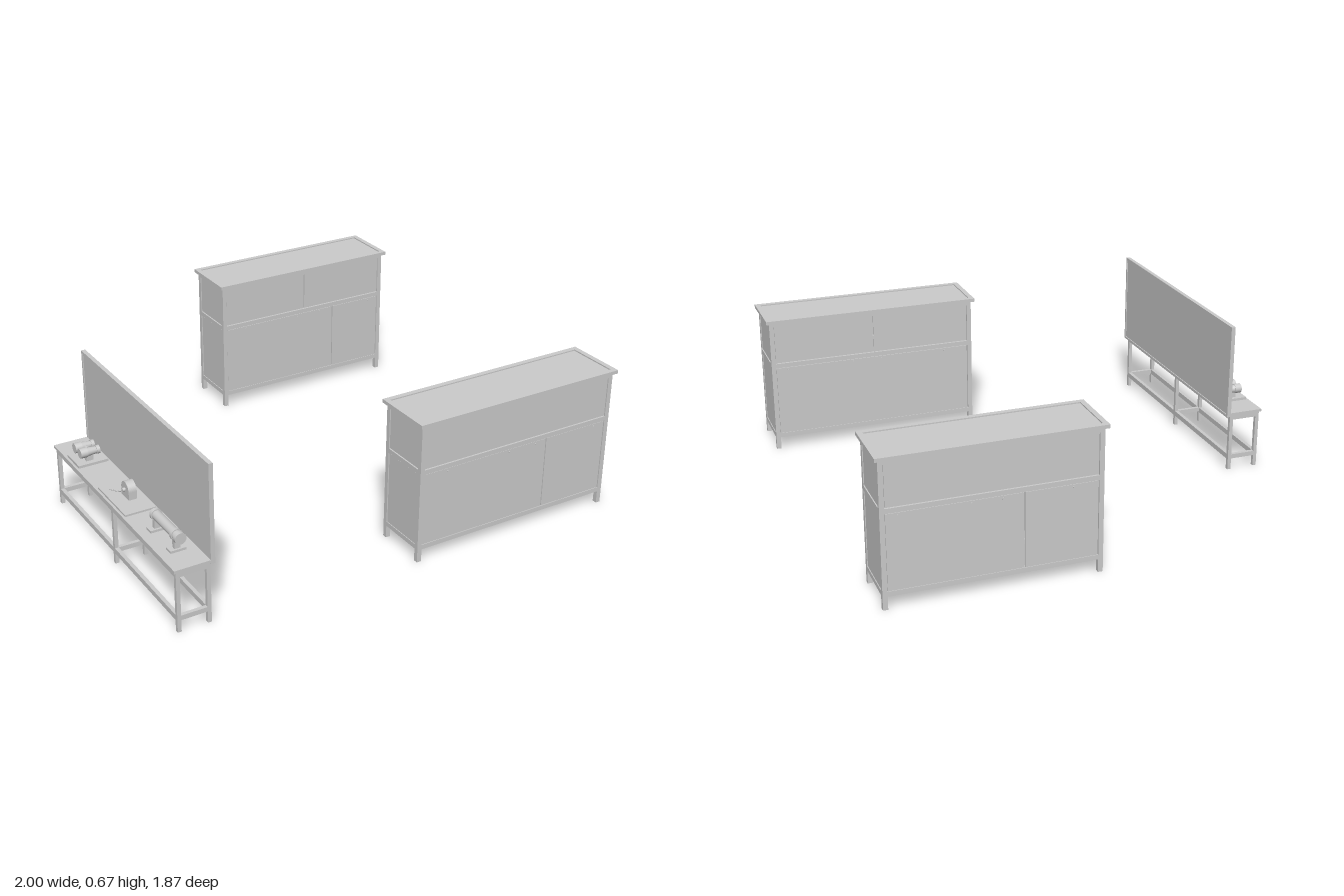
import * as THREE from 'three';

const mat = new THREE.MeshStandardMaterial({ color: 0xcccccc, side: THREE.DoubleSide });

function add(parent, name, geo, x = 0, y = 0, z = 0) {
  const m = new THREE.Mesh(geo, mat);
  m.name = name;
  m.position.set(x, y, z);
  parent.add(m);
  return m;
}

// box given by its limits on each axis
function box(parent, name, x0, x1, y0, y1, z0, z1) {
  return add(parent, name, new THREE.BoxGeometry(x1 - x0, y1 - y0, z1 - z0),
    (x0 + x1) / 2, (y0 + y1) / 2, (z0 + z1) / 2);
}

// cylinder lying along 'x' or 'z'
function rod(parent, name, axis, r, len, x, y, z, r2 = r) {
  const g = new THREE.CylinderGeometry(r, r2, len, 24);
  if (axis === 'x') g.rotateZ(-Math.PI / 2);
  else g.rotateX(Math.PI / 2);
  return add(parent, name, g, x, y, z);
}

// framed cabinet with an open underside; splits hold the panel joints of each long face
function cabinet(name, x0, x1, zc, splits) {
  const g = new THREE.Group();
  g.name = name;
  const hz = 0.12, p = 0.02, z0 = zc - hz, z1 = zc + hz;
  const rails = [[0.055, 0.075], [0.392, 0.412], [0.587, 0.605]];
  const rows = [[0.075, 0.389], [0.415, 0.587]];

  // corner posts
  for (const x of [x0, x1 - p])
    for (const z of [z0, z1 - p]) box(g, 'cornerPost', x, x + p, 0, 0.605, z, z + p);

  // horizontal rails
  for (const [a, b] of rails) {
    for (const z of [z0, z1 - p]) box(g, 'longRail', x0 + p, x1 - p, a, b, z, z + p);
    for (const x of [x0, x1 - p]) box(g, 'endRail', x, x + p, a, b, z0 + p, z1 - p);
  }

  // panels of the two long faces, with bolts under the middle rail
  for (const s of [1, -1]) {
    const zf = zc + s * (hz - 0.006);
    rows.forEach(([a, b], row) => {
      const cuts = [x0 + p, ...splits[s === 1 ? 'front' : 'back'][row], x1 - p];
      for (let i = 0; i + 1 < cuts.length; i++)
        box(g, row ? 'upperPanel' : 'lowerPanel', cuts[i] + 0.002, cuts[i + 1] - 0.002,
          a, b, zf - 0.003, zf + 0.003);
    });
    for (const t of [0.14, 0.46, 0.6, 0.92])
      rod(g, 'bolt', 'z', 0.004, 0.008, x0 + t * (x1 - x0), 0.378, zf + s * 0.003);
  }

  // end panels
  for (const x of [x0 + 0.006, x1 - 0.006])
    for (const [a, b] of rows)
      box(g, 'endPanel', x - 0.003, x + 0.003, a, b, z0 + p + 0.002, z1 - p - 0.002);

  // overhanging top: rim with a slightly sunken board
  const o = 0.014, w = 0.022, X0 = x0 - o, X1 = x1 + o, Z0 = z0 - o, Z1 = z1 + o;
  for (const z of [Z0, Z1 - w]) box(g, 'topRim', X0, X1, 0.605, 0.62, z, z + w);
  for (const x of [X0, X1 - w]) box(g, 'topRim', x, x + w, 0.605, 0.62, Z0 + w, Z1 - w);
  box(g, 'topBoard', X0 + w, X1 - w, 0.606, 0.615, Z0 + w, Z1 - w);
  return g;
}

function bench() {
  const g = new THREE.Group();
  g.name = 'bench';
  const p = 0.016, xs = [-0.992, -0.866], zs = [-0.243, 0.302, 0.847];

  // legs and cross rails
  for (const z of zs) {
    for (const x of xs) box(g, 'benchLeg', x, x + p, 0, 0.24, z, z + p);
    box(g, 'crossRail', xs[0] + p, xs[1], 0.05, 0.07, z, z + p);
    box(g, 'crossApron', xs[0] + p, xs[1], 0.237, 0.262, z, z + p);
  }
  // long rails and top
  for (const x of xs) {
    box(g, 'lowRail', x, x + p, 0.047, 0.07, zs[0] + p, zs[2]);
    box(g, 'apron', x, x + p, 0.237, 0.262, zs[0], zs[2] + p);
  }
  box(g, 'benchTop', -1, -0.85, 0.26, 0.272, -0.25, 0.868);

  // upright back board with a thin frame
  box(g, 'backBoard', -0.846, -0.836, 0.262, 0.665, -0.245, 0.86);
  for (const y of [0.255, 0.662]) box(g, 'boardFrame', -0.85, -0.832, y, y + 0.01, -0.25, 0.868);
  for (const z of [-0.25, 0.858]) box(g, 'boardFrame', -0.85, -0.832, 0.265, 0.662, z, z + 0.01);
  return g;
}

// twin stepped barrels on a base plate
function twinBarrels() {
  const g = new THREE.Group();
  g.name = 'twinBarrels';
  box(g, 'basePlate', -0.99, -0.86, 0.272, 0.283, -0.125, -0.01);
  for (const z of [-0.097, -0.043]) {
    rod(g, 'barrel', 'x', 0.014, 0.055, -0.915, 0.32, z, 0.019);
    rod(g, 'barrelEnd', 'x', 0.021, 0.03, -0.955, 0.32, z);
    rod(g, 'eyepiece', 'x', 0.018, 0.014, -0.892, 0.32, z);
    box(g, 'barrelFoot', -0.945, -0.915, 0.283, 0.308, z - 0.01, z + 0.01);
  }
  rod(g, 'hinge', 'z', 0.008, 0.03, -0.925, 0.322, -0.07);
  return g;
}

// small round-topped block on a wide plate
function roundBlock() {
  const g = new THREE.Group();
  g.name = 'roundBlock';
  box(g, 'basePlate', -0.99, -0.86, 0.272, 0.28, 0.18, 0.432);
  const s = new THREE.Shape();
  s.moveTo(-0.034, 0);
  s.lineTo(0.034, 0);
  s.lineTo(0.034, 0.034);
  s.absarc(0, 0.034, 0.034, 0, Math.PI);
  const geo = new THREE.ExtrudeGeometry(s, { depth: 0.035, bevelEnabled: false, curveSegments: 12 });
  geo.rotateY(Math.PI / 2);
  add(g, 'block', geo, -0.93, 0.28, 0.305);
  rod(g, 'knob', 'x', 0.008, 0.014, -0.935, 0.315, 0.305);
  // bent lever
  const path = new THREE.CatmullRomCurve3([
    new THREE.Vector3(-0.93, 0.30, 0.29), new THREE.Vector3(-0.938, 0.288, 0.265),
    new THREE.Vector3(-0.95, 0.284, 0.24), new THREE.Vector3(-0.96, 0.284, 0.225)]);
  add(g, 'lever', new THREE.TubeGeometry(path, 12, 0.002, 6));
  return g;
}

// long tube held on two footed brackets
function tubeOnBrackets() {
  const g = new THREE.Group();
  g.name = 'tubeOnBrackets';
  rod(g, 'tube', 'z', 0.02, 0.22, -0.925, 0.338, 0.668);
  rod(g, 'tubeCap', 'z', 0.024, 0.02, -0.925, 0.338, 0.768);
  for (const z of [0.572, 0.738]) {
    box(g, 'bracketFoot', -0.958, -0.892, 0.272, 0.282, z - 0.018, z + 0.018);
    box(g, 'bracketStem', -0.937, -0.913, 0.282, 0.325, z - 0.009, z + 0.009);
    rod(g, 'bracketRing', 'z', 0.024, 0.014, -0.925, 0.338, z);
  }
  return g;
}

export function createModel() {
  const model = new THREE.Group();
  model.name = 'workshopFurniture';
  model.add(
    cabinet('frontCabinet', 0.04, 0.984, 0.798, { front: [[0.66], []], back: [[], [0.51]] }),
    cabinet('backCabinet', 0.04, 0.918, -0.804, { front: [[0.64], [0.48]], back: [[0.36], []] }),
    bench(), twinBarrels(), roundBlock(), tubeOnBrackets());
  return model;
}
